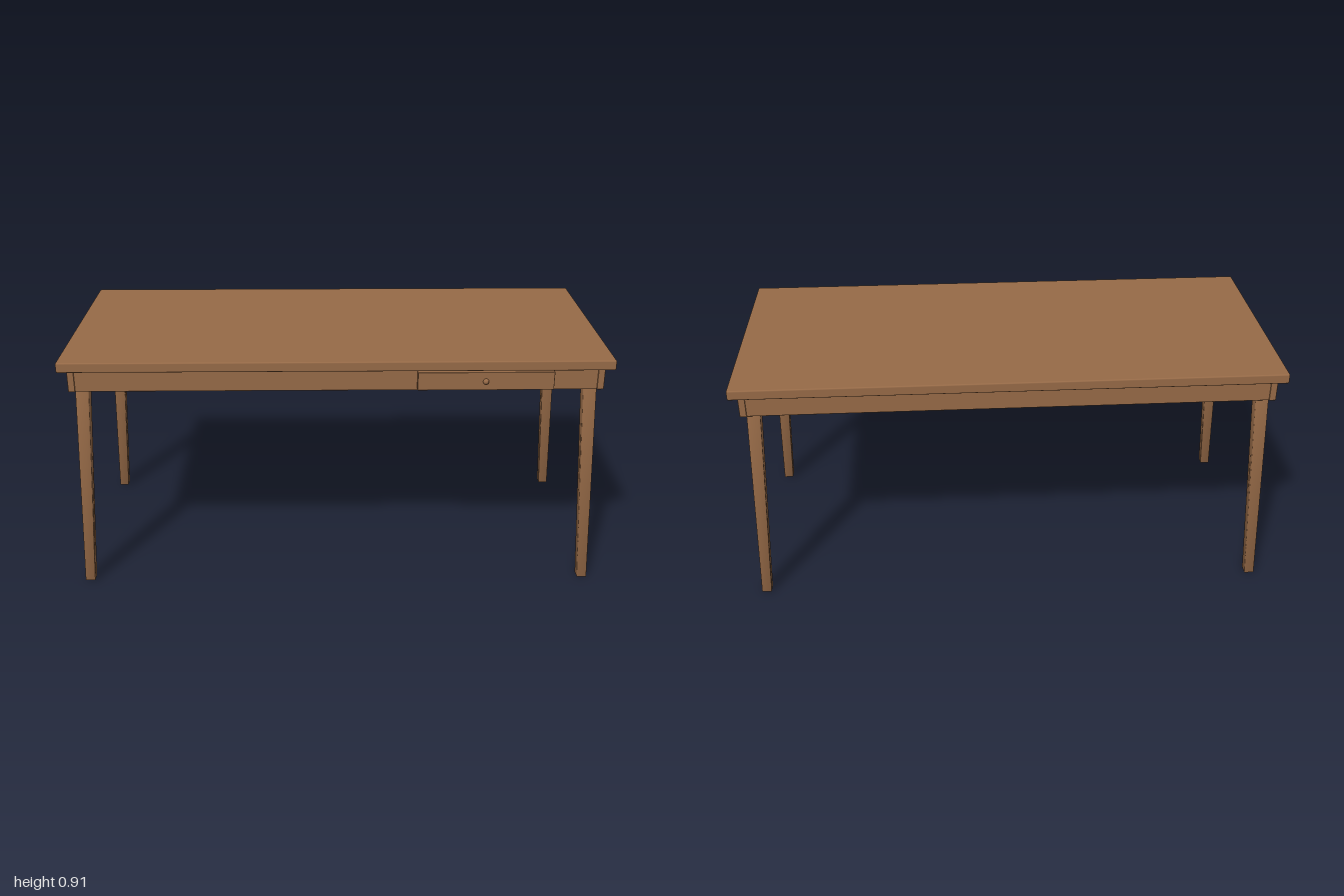
import * as THREE from 'three';
import { RoundedBoxGeometry } from 'three/addons/geometries/RoundedBoxGeometry.js';
import { toCreasedNormals } from 'three/addons/utils/BufferGeometryUtils.js';

export function createModel() {
  const table = new THREE.Group();
  table.name = 'table';
  const wood = new THREE.MeshStandardMaterial({ color: 0x966a47 });
  wood.name = 'brown wood';

  function add(name, geometry, x = 0, y = 0, z = 0) {
    const mesh = new THREE.Mesh(geometry, wood);
    mesh.name = name;
    mesh.position.set(x, y, z);
    table.add(mesh);
    return mesh;
  }
  // Board with softened edges, given by its low and high limits
  function board(name, [x0, x1], [y0, y1], [z0, z1], radius = 0.003) {
    const geometry = new RoundedBoxGeometry(x1 - x0, y1 - y0, z1 - z0, 2, radius);
    return add(name, geometry, (x0 + x1) / 2, (y0 + y1) / 2, (z0 + z1) / 2);
  }

  // Top
  board('tableTop', [-1, 1], [0.875, 0.912], [-0.444, 0.446], 0.005);

  // Apron: side rails cover the ends of the long rails
  const railY = [0.79, 0.872];
  board('leftRail', [0.945, 0.97], railY, [-0.415, 0.417]);
  board('rightRail', [-0.97, -0.945], railY, [-0.415, 0.417]);
  board('frontRail', [-0.946, 0.946], railY, [0.39, 0.414]);
  board('backRail', [-0.946, 0.946], railY, [-0.412, -0.388]);

  // Drawer front and knob
  board('drawerFront', [0.291, 0.785], [0.797, 0.866], [0.41, 0.435]);
  add('drawerKnob', new THREE.SphereGeometry(0.011, 20, 14), 0.537, 0.831, 0.436);

  // Splayed legs, tapering towards the floor
  const height = 0.872;
  function legGeometry(sx, sz) {
    const geometry = new RoundedBoxGeometry(0.05, height, 0.05, 2, 0.004);
    geometry.translate(0, height / 2, 0);
    const p = geometry.attributes.position;
    for (let i = 0; i < p.count; i++) {
      const t = p.getY(i) / height;
      const scale = THREE.MathUtils.lerp(0.76, 1.01, t);
      p.setX(i, p.getX(i) * scale + sx * THREE.MathUtils.lerp(0.96, 0.921, t));
      p.setZ(i, p.getZ(i) * scale + sz * THREE.MathUtils.lerp(0.407, 0.368, t));
    }
    return toCreasedNormals(geometry, 0.6);
  }
  for (const sx of [-1, 1]) {
    for (const sz of [-1, 1]) {
      add((sz > 0 ? 'front' : 'back') + (sx > 0 ? 'Left' : 'Right') + 'Leg', legGeometry(sx, sz));
    }
  }
  return table;
}
